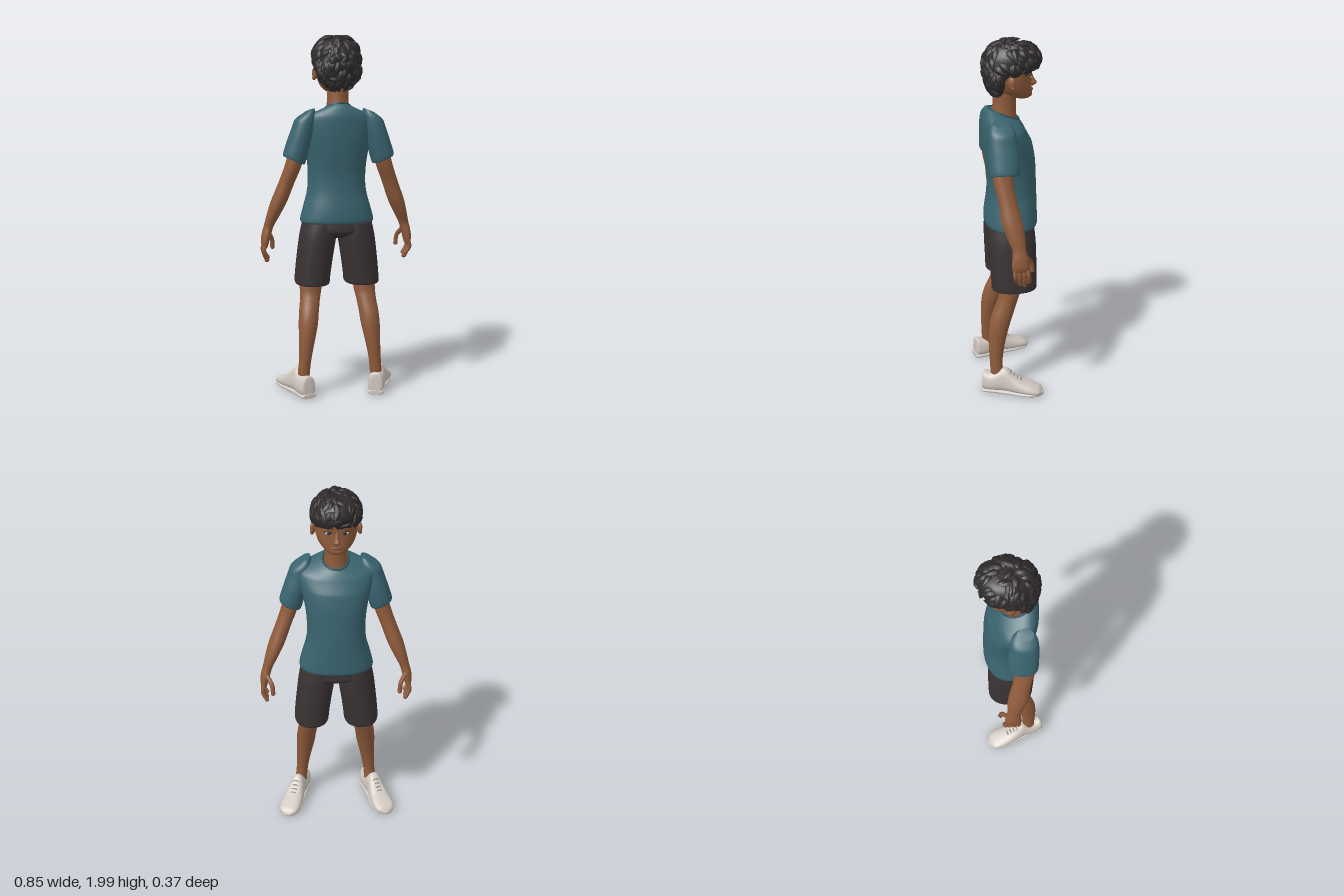
import * as THREE from 'three';
import { mergeGeometries } from 'three/addons/utils/BufferGeometryUtils.js';

const mat = (name, color) => Object.assign(new THREE.MeshStandardMaterial({ color }), { name });

// Smooth closed skin through horizontal sections, listed top to bottom:
// [y, centreX, zFront, zBack, halfWidth, squareness = 2, sidewaysTilt = 0]
function loft(rows, { seg = 28, steps = 5, warp } = {}) {
  const full = rows.map(r => [...r, ...[2, 0].slice(r.length - 5)]);
  const at = i => full[Math.min(Math.max(i, 0), full.length - 1)];
  const pos = [], idx = [], rings = (full.length - 1) * steps + 1;
  for (let i = 0; i < rings; i++) {
    const k = Math.min(Math.floor(i / steps), full.length - 2), t = i / steps - k;
    const [a, b, c, d] = [k - 1, k, k + 1, k + 2].map(at);
    const [y, x, zf, zb, rx, n, tilt] = b.map((v, m) => v + 0.5 * t * (c[m] - a[m] +
      t * (2 * a[m] - 5 * v + 4 * c[m] - d[m] + t * (3 * (v - c[m]) + d[m] - a[m]))));
    for (let j = 0; j < seg; j++) {
      const u = j / seg * Math.PI * 2, cs = Math.cos(u), sn = Math.sin(u);
      const dx = rx * Math.sign(cs) * Math.abs(cs) ** (2 / n);
      const dz = (zb - zf) / 2 * Math.sign(sn) * Math.abs(sn) ** (2 / n);
      pos.push(x + dx, y + tilt * dx, (zf + zb) / 2 + dz);
    }
  }
  const top = rings * seg;
  for (const r of [at(0), at(full.length)]) pos.push(r[1], r[0], (r[2] + r[3]) / 2);
  for (let j = 0; j < seg; j++) {
    const q = (j + 1) % seg, end = (rings - 1) * seg;
    for (let i = 0; i < rings - 1; i++) {
      const o = i * seg;
      idx.push(o + j, o + q, o + seg + j, o + q, o + seg + q, o + seg + j);
    }
    idx.push(top, q, j, top + 1, end + j, end + q);
  }
  if (warp) for (let i = 0; i < pos.length; i += 3) {
    const p = warp(pos[i], pos[i + 1], pos[i + 2]);
    for (let m = 0; m < 3; m++) pos[i + m] = p[m];
  }
  const g = new THREE.BufferGeometry();
  g.setAttribute('position', new THREE.Float32BufferAttribute(pos, 3));
  g.setIndex(idx);
  g.computeVertexNormals();
  return g;
}

const ball = (rx, ry, rz, x, y, z) => new THREE.SphereGeometry(1, 20, 14).scale(rx, ry, rz).translate(x, y, z);
const tube = (pts, r, closed = false) => new THREE.TubeGeometry(
  new THREE.CatmullRomCurve3(pts.map(p => new THREE.Vector3(...p)), closed), closed ? 40 : 12, r, 8, closed);

// Rounded, tapering finger along a path
function finger(pts, r) {
  const tip = pts[pts.length - 1];
  const parts = [tube(pts, r), ball(r, r, r, ...tip), ball(r, r, r, ...pts[0])];
  return mergeGeometries(parts);
}

function mirrored(geo) {
  const g = geo.clone().scale(-1, 1, 1), ix = g.index;
  for (let i = 0; i < ix.count; i += 3) {
    const a = ix.getX(i);
    ix.setX(i, ix.getX(i + 1));
    ix.setX(i + 1, a);
  }
  return g;
}

export function createModel() {
  const skin = mat('skin', 0x8f5b3b), shirt = mat('shirt', 0x3a646f), trim = mat('shirt trim', 0x2d4f59);
  const cloth = mat('shorts', 0x393233), hairMat = mat('hair', 0x2f2b2c), shoe = mat('shoe', 0xd0c8c0);
  const lace = mat('lace', 0x8d857e), lip = mat('lips', 0x75402f), white = mat('eye white', 0xd8d2cb);
  const model = new THREE.Group();
  const add = (name, geo, m) => {
    const mesh = new THREE.Mesh(geo, m);
    mesh.name = name;
    model.add(mesh);
  };
  const pair = (name, geo, m) => {
    add(name + 'Right', geo, m);
    add(name + 'Left', mirrored(geo), m);
  };

  // Shirt: neckline dips towards the front (-z)
  const dip = (x, y, z) => [x, y - 0.065 * Math.max(0, (y - 1.45) / 0.187) * (0.115 - z) / 0.16, z];
  add('shirtBody', loft([
    [1.637, 0, -.045, .115, .07], [1.615, 0, -.06, .132, .115], [1.58, 0, -.075, .145, .185],
    [1.54, 0, -.088, .152, .205], [1.45, 0, -.115, .15, .19, 2.2], [1.35, 0, -.134, .14, .17, 2.3],
    [1.25, 0, -.14, .128, .16, 2.3], [1.15, 0, -.144, .13, .164, 2.3], [1.05, 0, -.147, .143, .19, 2.3],
    [.985, 0, -.147, .145, .205, 2.3], [.975, 0, -.13, .13, .19, 2.3]], { seg: 40, warp: dip }), shirt);
  add('collar', tube(Array.from({ length: 16 }, (_, i) => {
    const a = i / 16 * Math.PI * 2;
    return dip(.07 * Math.cos(a), 1.636, .035 + .08 * Math.sin(a));
  }), .006, true), trim);
  pair('sleeve', loft([
    [1.595, .165, .03, .115, .03, 2, -.4], [1.56, .185, 0, .135, .055, 2.2, -.2],
    [1.5, .2, -.01, .143, .06, 2.2, 0], [1.42, .222, -.02, .143, .062, 2.2, .2],
    [1.335, .247, -.016, .139, .06, 2.2, .4], [1.328, .247, 0, .128, .05, 2.2, .4]]), shirt);

  // Shorts
  add('shortsSeat', loft([[1.02, 0, -.125, .125, .185, 2.3], [.96, 0, -.128, .135, .198, 2.3],
    [.92, 0, -.125, .132, .17, 2.3], [.89, 0, -.06, .08, .08]]), cloth);
  pair('shortsLeg', loft([[.98, .098, -.12, .13, .095], [.9, .108, -.128, .135, .102, 2.2],
    [.78, .125, -.13, .13, .1, 2.3], [.68, .137, -.13, .124, .098, 2.3], [.632, .14, -.13, .122, .096, 2.3],
    [.628, .14, -.118, .11, .085, 2.3], [.645, .14, -.1, .1, .075]]), cloth);

  // Legs
  pair('leg', loft([[.72, .145, -.06, .08, .066], [.6, .153, -.035, .082, .061], [.54, .16, -.015, .1, .056],
    [.47, .17, .008, .128, .055], [.4, .177, .03, .143, .053], [.3, .188, .055, .147, .042],
    [.2, .199, .07, .143, .034], [.12, .207, .066, .14, .034], [.07, .21, .06, .14, .034]]), skin);

  // Shoes: lofted heel to toe, then laid down and turned outwards
  const place = g => g.rotateY(-.32).translate(.215, 0, .1);
  const lay = rows => loft(rows.map(([z, top, w, low]) => [z, 0, -top, -low, w, 2.5]), { seg: 24 }).rotateX(Math.PI / 2);
  const upper = lay([[.088, .11, .024, .03], [.08, .135, .043, .02], [.04, .128, .05, .02], [0, .142, .05, .02],
    [-.045, .163, .05, .02], [-.09, .128, .055, .02], [-.14, .096, .06, .02], [-.2, .072, .06, .02],
    [-.24, .055, .048, .02], [-.258, .036, .022, .022]]);
  const up = upper.attributes.position;
  for (let i = 0; i < up.count; i++) up.setX(i, up.getX(i) * (1.05 - 2.4 * Math.max(0, up.getY(i) - .03)));
  upper.computeVertexNormals();
  pair('shoeUpper', place(upper), shoe);
  pair('shoeSole', place(lay([[.092, .035, .025, .008], [.08, .036, .045, .008], [0, .036, .046, .008],
    [-.09, .036, .054, .008], [-.16, .036, .061, .008], [-.22, .038, .056, .01],
    [-.25, .038, .036, .012], [-.264, .034, .012, .016]])), shoe);
  pair('laces', place(mergeGeometries([[-.075, .142], [-.095, .126], [-.115, .113], [-.135, .101]].map(([z, h]) =>
    tube([[-.024, h - .012, z], [0, h, z], [.024, h - .012, z]], .0035)))), lace);

  // Arms and hands
  pair('arm', loft([[1.42, .222, .02, .13, .045], [1.3, .253, .018, .124, .046], [1.2, .29, .003, .103, .044],
    [1.1, .328, -.02, .09, .045], [1.03, .355, -.03, .07, .038], [.96, .382, -.032, .042, .028],
    [.92, .394, -.042, .044, .027], [.87, .404, -.046, .046, .023], [.84, .404, -.038, .04, .014]]), skin);
  const fingers = [[.033, .785], [.011, .765], [-.013, .758], [-.036, .775]].map(([z, y]) =>
    finger([[.404, .86, z * .95], [.413, .82, z * 1.05 - .005], [.392, y, z - .012]], .0115));
  fingers.push(finger([[.388, .92, -.03], [.36, .875, -.062], [.355, .825, -.07]], .0125));
  pair('fingers', mergeGeometries(fingers), skin);

  // Neck, head and ears
  add('neck', loft([[1.76, 0, -.04, .09, .06], [1.65, 0, -.032, .095, .059], [1.57, 0, -.035, .11, .068]]), skin);
  add('head', loft([[1.97, 0, -.05, .09, .06], [1.92, 0, -.1, .12, .1], [1.86, 0, -.118, .125, .112],
    [1.81, 0, -.115, .12, .113], [1.77, 0, -.115, .1, .107], [1.73, 0, -.117, .07, .09],
    [1.7, 0, -.118, .01, .058], [1.685, 0, -.1, -.03, .03]], { seg: 36 }), skin);
  add('nose', loft([[1.82, 0, -.116, -.09, .008], [1.785, 0, -.132, -.09, .012],
    [1.765, 0, -.145, -.09, .018], [1.75, 0, -.128, -.09, .015]], { seg: 16 }), skin);
  pair('ear', mergeGeometries([ball(.014, .034, .022, 0, 0, 0), ball(.01, .012, .01, .003, -.026, -.006)])
    .rotateY(-.4).translate(.121, 1.795, .006), skin);

  // Face details
  pair('eye', ball(.018, .009, .006, .043, 1.81, -.104), white);
  pair('iris', ball(.009, .0088, .004, .042, 1.81, -.1085), hairMat);
  pair('upperLid', tube([[.022, 1.812, -.112], [.043, 1.821, -.109], [.065, 1.811, -.096]], .003), hairMat);
  pair('eyebrow', tube([[.02, 1.838, -.116], [.045, 1.846, -.11], [.072, 1.837, -.092]], .005), hairMat);
  add('lips', tube([[-.03, 1.73, -.111], [-.01, 1.729, -.118], [.01, 1.729, -.118], [.03, 1.73, -.111]], .006), lip);

  // Hair: a cap open over the face, covered with curved locks flowing away from the crown
  const cap = loft([[1.985, 0, -.055, .055, .05], [1.965, 0, -.115, .095, .088], [1.925, 0, -.15, .128, .116],
    [1.885, 0, -.155, .142, .124], [1.855, 0, -.125, .143, .123], [1.832, 0, -.05, .142, .119],
    [1.785, 0, .015, .132, .11], [1.745, 0, .035, .118, .084], [1.715, 0, .045, .1, .05]], { seg: 36 });
  add('hairCap', cap, hairMat);
  let seed = 11;
  const rnd = () => (seed = seed * 16807 % 2147483647) / 2147483647;
  const lockBase = new THREE.LatheGeometry([[0, -.03], [.013, -.022], [.019, -.004], [.014, .016], [.006, .032], [0, .042]]
    .map(p => new THREE.Vector2(...p)), 8).scale(1, 1, .55);
  const lp = lockBase.attributes.position;
  for (let i = 0; i < lp.count; i++) lp.setZ(i, lp.getZ(i) - 5 * lp.getY(i) ** 2 + .003);
  lockBase.computeVertexNormals();
  const P = cap.attributes.position, N = cap.attributes.normal, locks = [];
  const crown = new THREE.Vector3(.01, 2.02, .05);
  while (locks.length < 230) {
    const i = Math.floor(rnd() * P.count), p = new THREE.Vector3().fromBufferAttribute(P, i);
    if (p.y < 1.85 && p.z < .04) continue;
    const n = new THREE.Vector3().fromBufferAttribute(N, i);
    const dir = p.clone().sub(crown).normalize();
    dir.add(new THREE.Vector3(rnd() - .5, rnd() - .5, rnd() - .5).multiplyScalar(1.3));
    dir.addScaledVector(n, -dir.dot(n)).normalize().addScaledVector(n, .18).normalize();
    const side = dir.clone().cross(n).normalize(), out = side.clone().cross(dir);
    const s = (p.y < 1.8 ? .65 : .85) + rnd() * .35;
    const m = new THREE.Matrix4().makeBasis(side, dir, out).scale(new THREE.Vector3(s, s, s));
    locks.push(lockBase.clone().applyMatrix4(m.setPosition(p.addScaledVector(n, .002))));
  }
  add('hairLocks', mergeGeometries(locks), hairMat);
  return model;
}
